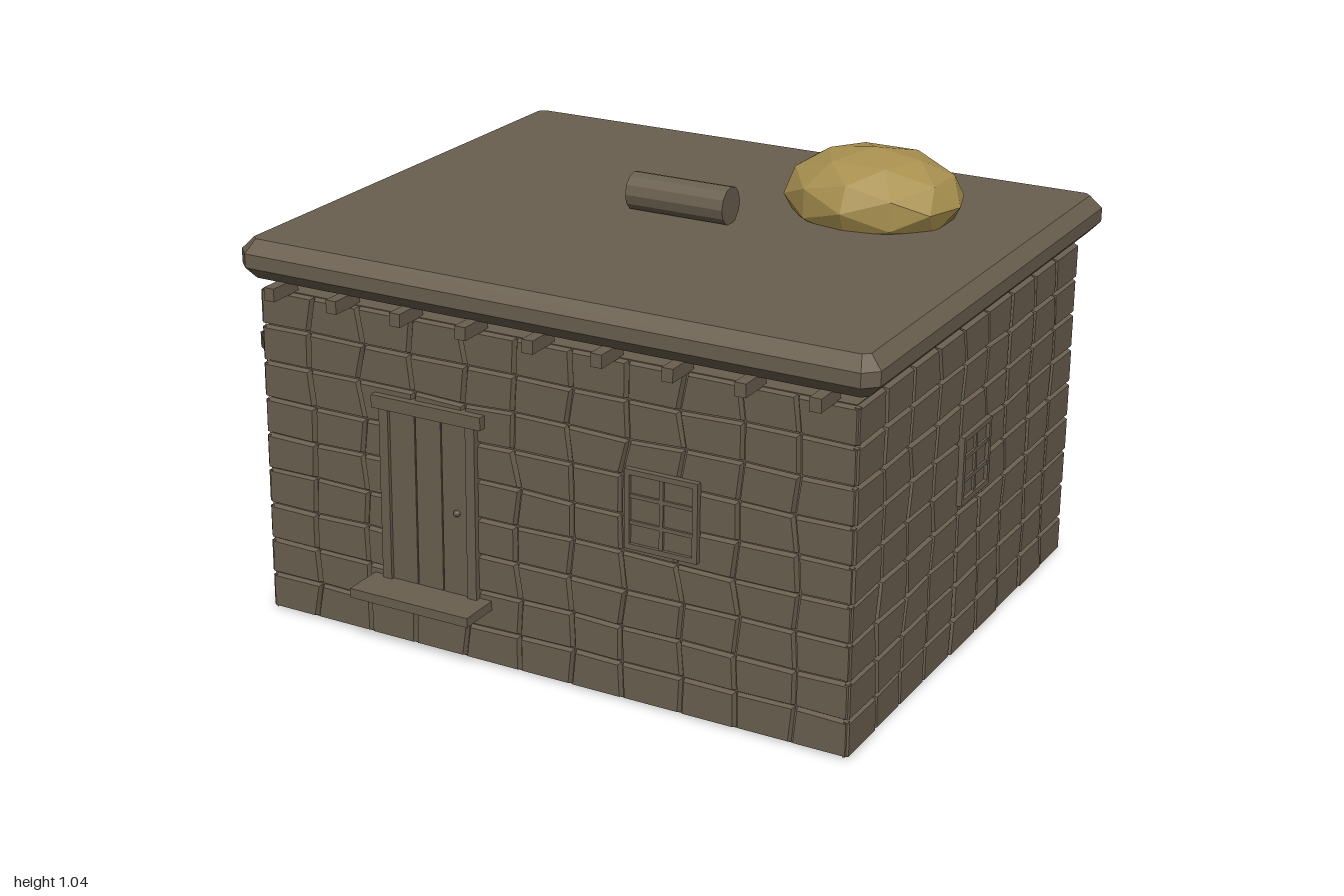
import * as THREE from 'three';

const brown = new THREE.MeshStandardMaterial({ color: 0x6a5f4f, flatShading: true });
brown.name = 'weathered brown';
const straw = new THREE.MeshStandardMaterial({ color: 0xa8904f, flatShading: true });
straw.name = 'straw gold';

// House body: centre and half sizes
const CX = 0.225, CZ = -0.017, HX = 0.725, HZ = 0.605, H = 0.777, DEPTH = 0.012;

let seed = 7;
const rand = () => {
  seed = (seed * 16807) % 2147483647;
  return seed / 2147483647 - 0.5;
};

function add(parent, name, geometry, x, y, z, material = brown) {
  const mesh = new THREE.Mesh(geometry, material);
  mesh.name = name;
  mesh.position.set(x, y, z);
  parent.add(mesh);
  return mesh;
}

const box = (parent, name, w, h, d, x, y, z) =>
  add(parent, name, new THREE.BoxGeometry(w, h, d), x, y, z);

// Grid of bevelled stone blocks with slightly wandering joints, facing +z
function stoneWall(width, cols, rows) {
  const joint = [];
  for (let r = 0; r <= rows; r++) {
    joint.push([]);
    for (let c = 0; c <= cols; c++) {
      const inner = c > 0 && c < cols;
      joint[r].push([
        (c / cols - 0.5) * width + (inner ? rand() * 0.02 : 0),
        (r / rows) * H + (inner && r > 0 && r < rows ? rand() * 0.006 : 0),
      ]);
    }
  }
  const pos = [];
  const quad = (a, b, c, d) => pos.push(...a, ...b, ...c, ...a, ...c, ...d);
  for (let r = 0; r < rows; r++) {
    for (let c = 0; c < cols; c++) {
      const corners = [joint[r][c], joint[r][c + 1], joint[r + 1][c + 1], joint[r + 1][c]];
      const ring = (inset, z) => corners.map(([x, y], i) => [
        x + (i === 0 || i === 3 ? inset : -inset), y + (i < 2 ? inset : -inset), z]);
      const base = ring(0.002, -DEPTH);
      const face = ring(0.006, rand() * 0.003);
      quad(...face);
      for (let i = 0; i < 4; i++) {
        const j = (i + 1) % 4;
        quad(base[i], base[j], face[j], face[i]);
      }
    }
  }
  const g = new THREE.BufferGeometry();
  g.setAttribute('position', new THREE.Float32BufferAttribute(pos, 3));
  g.computeVertexNormals();
  return g;
}

// Two by three pane window facing +z
function makeWindow(w, h) {
  const g = new THREE.Group();
  const bar = 0.012;
  box(g, 'windowPane', w, h, 0.005, 0, 0, 0.0025);
  for (const s of [-1, 1]) {
    box(g, 'windowJamb', bar, h, 0.016, s * (w - bar) / 2, 0, 0.005);
    box(g, 'windowRail', w, bar, 0.016, 0, s * (h - bar) / 2, 0.005);
    box(g, 'windowBar', w, 0.009, 0.011, 0, s * h / 6, 0.005);
  }
  box(g, 'windowMullion', 0.009, h, 0.011, 0, 0, 0.005);
  return g;
}

export function createModel() {
  const model = new THREE.Group();
  model.name = 'stoneHouse';

  // Core and four block walls
  box(model, 'wallCore', 2 * (HX - DEPTH), H, 2 * (HZ - DEPTH), CX, H / 2, CZ);
  const walls = [
    ['frontWall', 0, HX, HZ, 11], ['leftWall', Math.PI / 2, HZ, HX, 9],
    ['backWall', Math.PI, HX, HZ, 11], ['rightWall', -Math.PI / 2, HZ, HX, 9],
  ];
  for (const [name, angle, half, out, cols] of walls) {
    const wall = add(model, name, stoneWall(2 * half, cols, 9),
      CX + Math.sin(angle) * out, 0, CZ + Math.cos(angle) * out);
    wall.rotation.y = angle;
  }

  // Chamfered roof slab
  const bevel = 0.027, a = 0.767 - bevel, b = 0.645 - bevel, k = 0.014;
  const outline = new THREE.Shape([
    [a - k, -b], [a, k - b], [a, b - k], [a - k, b],
    [k - a, b], [-a, b - k], [-a, k - b], [k - a, -b],
  ].map(p => new THREE.Vector2(...p)));
  const roof = new THREE.ExtrudeGeometry(outline, {
    depth: 0.032, bevelEnabled: true, bevelSize: bevel, bevelThickness: 0.029, bevelSegments: 1,
  });
  roof.rotateX(-Math.PI / 2);
  add(model, 'roof', roof, 0.228, 0.832, -0.02);

  // Rafter ends under the eaves
  for (let i = 0; i < 9; i++) {
    for (const s of [-1, 1]) {
      box(model, 'rafterEnd', 0.026, 0.03, 0.09, -0.43 + i * 0.164, 0.79, -0.02 + s * 0.624);
    }
  }

  // Door with planks, frame, step and knob
  const door = new THREE.Group();
  door.name = 'door';
  door.position.set(-0.06, 0, CZ + HZ);
  model.add(door);
  for (let i = -1; i <= 1; i++) box(door, 'doorPlank', 0.064, 0.42, 0.012, i * 0.067, 0.355, 0);
  box(door, 'doorBacking', 0.2, 0.42, 0.006, 0, 0.355, 0);
  for (const s of [-1, 1]) box(door, 'doorJamb', 0.023, 0.42, 0.028, s * 0.111, 0.355, 0);
  box(door, 'doorLintel', 0.28, 0.03, 0.034, 0, 0.573, 0);
  box(door, 'doorStep', 0.305, 0.022, 0.11, 0, 0.144, 0.045);
  add(door, 'doorKnob', new THREE.IcosahedronGeometry(0.008, 1), 0.073, 0.35, 0.01);

  // Windows
  const front = makeWindow(0.172, 0.18);
  front.name = 'frontWindow';
  front.position.set(0.516, 0.455, CZ + HZ);
  const side = makeWindow(0.155, 0.16);
  side.name = 'sideWindow';
  side.position.set(CX + HX, 0.45, -0.017);
  side.rotation.y = Math.PI / 2;
  model.add(front, side);

  // Log roll and straw heap on the roof
  const log = new THREE.CylinderGeometry(0.044, 0.044, 0.245, 12);
  log.rotateZ(Math.PI / 2);
  add(model, 'roofLog', log, 0.228, 0.934, -0.02);
  const heap = add(model, 'strawHeap', new THREE.IcosahedronGeometry(1, 1), 0.588, 0.935, -0.26, straw);
  heap.scale.set(0.21, 0.11, 0.182);

  // Stepped triangular stack of six-sided logs beside the house
  const stackLog = new THREE.CylinderGeometry(0.06, 0.06, 0.048, 6);
  stackLog.rotateX(Math.PI / 2);
  stackLog.scale(1, 0.68, 1);
  for (let row = 0; row < 6; row++) {
    for (let i = 0; i < 6 - row; i++) {
      add(model, 'stackedLog', stackLog,
        -0.787 + (i - (5 - row) / 2) * 0.0645, 0.36 + row * 0.0155, -0.085 + row * 0.0385);
    }
  }
  return model;
}
